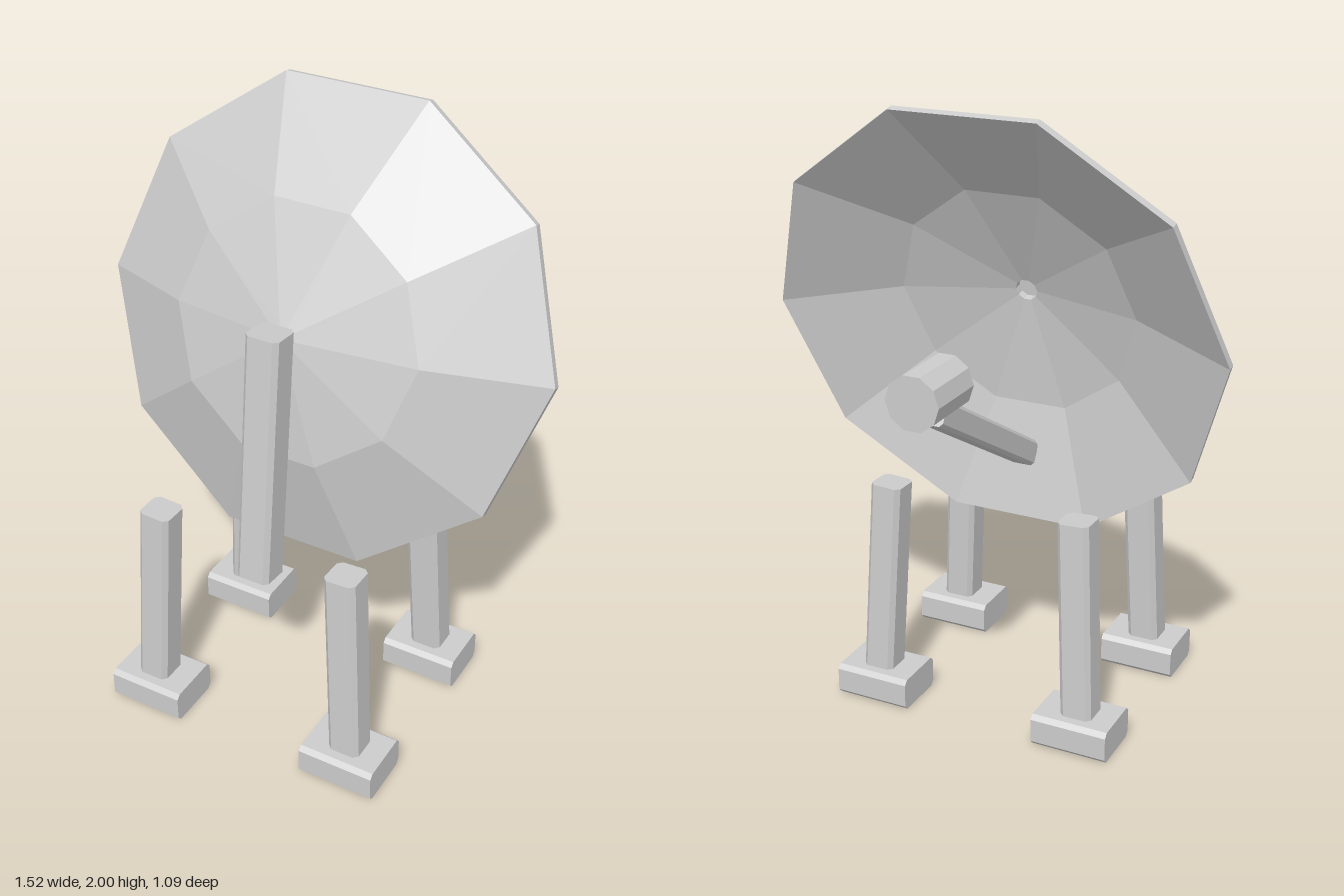
import * as THREE from 'three';

const grey = new THREE.MeshStandardMaterial({ color: 0xcccccc });
grey.name = 'light grey';

function addMesh(parent, name, geometry) {
  const mesh = new THREE.Mesh(geometry, grey);
  mesh.name = name;
  parent.add(mesh);
  return mesh;
}

// Faceted normals for lathe and cylinder shapes
function faceted(geometry) {
  const flat = geometry.toNonIndexed();
  flat.computeVertexNormals();
  return flat;
}

// Rectangular bar along +z with its four long edges cut off
function chamferedBar(w, h, length, c) {
  const x = w / 2, y = h / 2;
  const outline = [[x - c, -y], [x, c - y], [x, y - c], [x - c, y], [c - x, y], [-x, y - c], [-x, c - y], [c - x, -y]];
  const shape = new THREE.Shape(outline.map(([a, b]) => new THREE.Vector2(a, b)));
  return new THREE.ExtrudeGeometry(shape, { depth: length, bevelEnabled: false });
}

// Square beam running between two points
function addBeam(parent, name, from, to, width, chamfer) {
  const start = new THREE.Vector3(...from);
  const span = new THREE.Vector3(...to).sub(start);
  const geometry = chamferedBar(width, width, span.length(), chamfer).rotateX(-Math.PI / 2);
  const beam = addMesh(parent, name, geometry);
  beam.quaternion.setFromUnitVectors(new THREE.Vector3(0, 1, 0), span.normalize());
  beam.position.copy(start);
}

export function createModel() {
  const model = new THREE.Group();
  model.name = 'dishAntenna';

  // Ten-sided dish shell with a small hole in the middle
  const profile = [
    [0.037, 0.255], [0.405, 0.177], [0.762, 0], [0.762, 0.026], [0.41, 0.203], [0.037, 0.28], [0.037, 0.255],
  ].map(([r, y]) => new THREE.Vector2(r, y));
  const dish = addMesh(model, 'dish', faceted(new THREE.LatheGeometry(profile, 10, Math.PI / 2)));
  dish.rotation.x = THREE.MathUtils.degToRad(74);
  dish.position.set(0, 1.298, -0.04);

  // Leaning support post against the convex side
  addBeam(model, 'supportPost', [0, 0.608, 0.38], [0, 1.43, 0.294], 0.112, 0.015);

  // Receiver on its arm over the hollow side
  addBeam(model, 'receiverArm', [0, 0.815, 0.2], [0, 1.175, -0.425], 0.084, 0.011);
  const receiver = faceted(new THREE.CylinderGeometry(0.087, 0.087, 0.215, 10, 1, false, Math.PI / 2));
  addMesh(model, 'receiver', receiver.rotateX(Math.PI / 2)).position.set(0, 1.238, -0.44);

  // Four leaning legs on block feet
  for (const side of [1, -1]) {
    const sideName = side > 0 ? 'left' : 'right';
    for (const [end, zFoot, zTop] of [['Front', 0.448, 0.427], ['Back', -0.132, -0.109]]) {
      addBeam(model, `${sideName}${end}Leg`, [side * 0.36, 0.1, zFoot], [side * 0.328, 0.763, zTop], 0.106, 0.015);
      const foot = chamferedBar(0.194, 0.108, 0.256, 0.015).translate(0, 0, -0.128).rotateY(Math.PI / 2);
      addMesh(model, `${sideName}${end}Foot`, foot).position.set(side * 0.357, 0.054, zFoot);
    }
  }
  return model;
}
